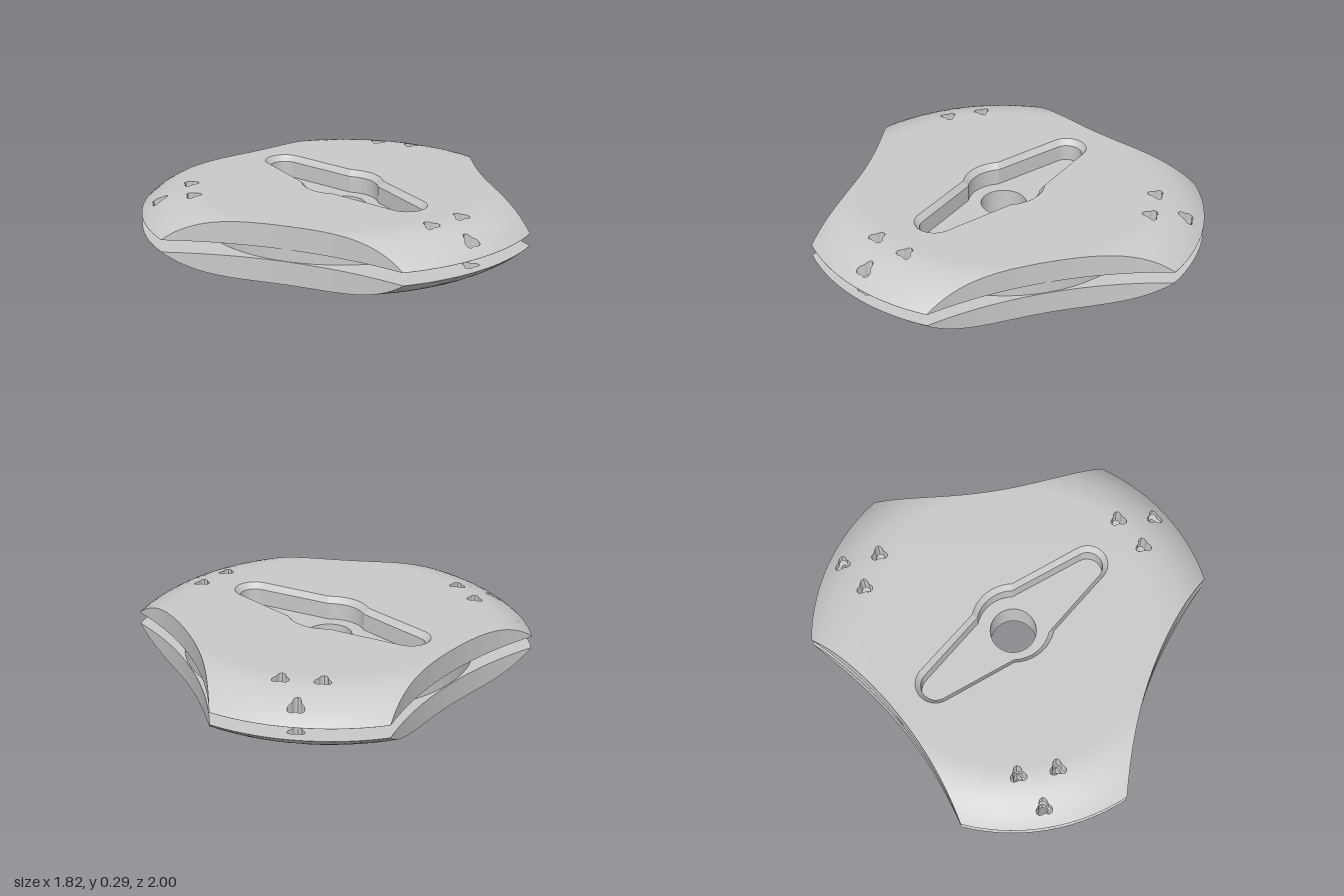
import * as THREE from 'three';

const CX = -0.098;                     // axis of the disc
const RIM = 1.006, FLAT = 0.72;        // rim radius, radius where the rounding begins
const THICK = 0.115, GAP = 0.06;       // shell thickness, slot between shells
const DROP = THICK - 0.001;
const ROUND = ((RIM - FLAT) ** 2 + DROP ** 2) / (2 * DROP);
const TAU = Math.PI * 2, DEG = Math.PI / 180;

const polar = (r, a) => [r * Math.cos(a), r * Math.sin(a)];
const circle = (r, n = 48) => Array.from({ length: n }, (_, i) => polar(r, (i / n) * TAU));

// Three-lobed plan: rim arcs joined by shallow concave scallops
function lobedPlan() {
  const pts = [], half = 23.5 * DEG, gap = Math.PI / 3 - half;
  const h = RIM * Math.sin(gap), sag = RIM * Math.cos(gap) - 0.72;
  const R = (h * h + sag * sag) / (2 * sag), phi = Math.asin(h / R);
  for (let k = 0; k < 3; k++) {
    const a = (k * TAU) / 3 + 0.5 * DEG, m = a + Math.PI / 3;
    for (let i = 0; i < 14; i++) pts.push(polar(RIM, a - half + (2 * half * i) / 14));
    for (let i = 0; i < 20; i++) {
      const p = -phi + (2 * phi * i) / 20;
      const d = 0.72 + R - R * Math.cos(p), s = R * Math.sin(p);
      pts.push([d * Math.cos(m) - s * Math.sin(m), d * Math.sin(m) + s * Math.cos(m)]);
    }
  }
  return pts;
}

// Six-cornered outline with slightly hollow long sides (underside recess and boss)
function sixSided(r) {
  const pts = [];
  for (let k = 0; k < 3; k++) {
    const a = (34.5 + 120 * k) * DEG;
    pts.push(polar(r, a));
    const p = polar(r, a + 40 * DEG), q = polar(r, a + 120 * DEG);
    for (let i = 0; i < 10; i++) {
      const t = i / 10, f = 1 - 0.06 * Math.sin(Math.PI * t);
      pts.push([(p[0] + (q[0] - p[0]) * t) * f, (p[1] + (q[1] - p[1]) * t) * f]);
    }
  }
  return pts;
}

// Long tapered slot with a round bulge in the middle, inset by o
function slotOutline(o) {
  const q = [];
  for (let i = 0; i <= 8; i++) {
    const [x, z] = polar(0.1 - o, i * 10 * DEG);
    q.push([0.485 + x, z]);
  }
  for (let i = 0; i <= 6; i++) q.push(polar(0.205 - o, (52 + (i * 38) / 6) * DEG));
  const left = q.slice(0, -1).reverse().map(([x, z]) => [-x, z]);
  const upper = [...q, ...left];
  return [...upper, ...upper.slice(1, -1).reverse().map(([x, z]) => [x, -z])];
}

// Small trefoil holes, three on each lobe
function trefoils() {
  const holes = [];
  for (const [cx, cz] of [[0.819, 0.007], [-0.389, -0.713], [-0.413, 0.697]]) {
    for (const [dx, dz] of [[-0.055, -0.095], [-0.055, 0.095], [0.11, 0]]) {
      holes.push(Array.from({ length: 24 }, (_, i) => {
        const a = (i / 24) * TAU;
        const [x, z] = polar(0.035 - 0.009 * Math.cos(3 * a), a);
        return [cx + dx + x, cz + dz + z];
      }));
    }
  }
  return holes;
}

// Slab from an (x, z) outline, growing up (dir 1) or down (dir -1) from y = 0
function slab(outline, holes, depth, dir, domed = false) {
  const v = (pts) => {
    const flat = pts.map(([x, z]) => new THREE.Vector2(x, -dir * z));
    return dir > 0 ? flat.reverse() : flat;
  };
  const shape = new THREE.Shape(v(outline));
  shape.holes = holes.map((h) => new THREE.Path(v(h)));
  let geo = new THREE.ExtrudeGeometry(shape, { depth, bevelEnabled: false, curveSegments: 1 });
  if (domed) geo = roundRim(geo, depth);
  geo.rotateX((-dir * Math.PI) / 2);
  return geo;
}

// Split long edges, then thin the slab along an arc towards the rim
function roundRim(source, depth) {
  const p = source.index ? source.toNonIndexed().attributes.position : source.attributes.position;
  const pos = [], onTop = [];
  const split = (a, b, c, top) => {
    const l = [a.distanceTo(b), b.distanceTo(c), c.distanceTo(a)];
    const m = Math.max(...l);
    if (m <= 0.06) {
      for (const q of [a, b, c]) {
        pos.push(q.x, q.y, q.z);
        onTop.push(top);
      }
      return;
    }
    while (l[0] !== m) {
      [a, b, c] = [b, c, a];
      l.push(l.shift());
    }
    const mid = a.clone().add(b).multiplyScalar(0.5);
    split(a, mid, c, top);
    split(mid, b, c, top);
  };
  for (let i = 0; i < p.count; i += 3) {
    const [a, b, c] = [0, 1, 2].map((k) => new THREE.Vector3().fromBufferAttribute(p, i + k));
    split(a, b, c, Math.min(a.z, b.z, c.z) > depth - 1e-5);
  }
  const past = (i) => Math.min(Math.max(Math.hypot(pos[3 * i], pos[3 * i + 1]) - FLAT, 0), RIM - FLAT);
  for (let i = 0; i < onTop.length; i++) {
    pos[3 * i + 2] *= 1 - (ROUND - Math.sqrt(ROUND ** 2 - past(i) ** 2)) / depth;
  }
  const geo = new THREE.BufferGeometry();
  geo.setAttribute('position', new THREE.Float32BufferAttribute(pos, 3));
  geo.computeVertexNormals();
  onTop.forEach((top, i) => {
    if (!top) return;
    const k = past(i) / ROUND, x = pos[3 * i], y = pos[3 * i + 1], r = Math.hypot(x, y) || 1;
    geo.attributes.normal.setXYZ(i, (x / r) * k, (y / r) * k, Math.sqrt(1 - k * k));
  });
  return geo;
}

// Inward-facing wall through a stack of outlines, top to bottom
function innerWall(rings) {
  const pos = [];
  for (let j = 0; j < rings.length - 1; j++) {
    const [hi, lo] = [rings[j], rings[j + 1]], n = hi.pts.length;
    for (let i = 0; i < n; i++) {
      const at = (r, k) => [r.pts[k % n][0], r.y, r.pts[k % n][1]];
      const a = at(hi, i), b = at(hi, i + 1), c = at(lo, i), d = at(lo, i + 1);
      pos.push(...a, ...c, ...b, ...b, ...c, ...d);
    }
  }
  const geo = new THREE.BufferGeometry();
  geo.setAttribute('position', new THREE.Float32BufferAttribute(pos, 3));
  geo.computeVertexNormals();
  return geo;
}

export function createModel() {
  const group = new THREE.Group();
  group.name = 'lobedSpool';
  const grey = new THREE.MeshStandardMaterial({ color: 0xcacaca });
  grey.name = 'grey';
  const add = (name, geo, y) => {
    const mesh = new THREE.Mesh(geo, grey);
    mesh.name = name;
    mesh.position.set(CX, y, 0);
    group.add(mesh);
  };

  const plan = lobedPlan(), bore = circle(0.115), small = trefoils();
  const top = 2 * THICK + GAP;

  // Two mirrored shells with rounded rims
  add('upperShell', slab(plan, [slotOutline(0), ...small], THICK, 1, true), THICK + GAP);
  add('lowerShell', slab(plan, [sixSided(0.71), ...small], THICK, -1, true), THICK);

  // Round core between them, which also floors the recesses
  add('core', slab(circle(0.716, 72), [bore], GAP, 1), THICK);

  // Chamfered wall of the top slot
  const inner = slotOutline(0.025);
  add('slotWall', innerWall([
    { pts: slotOutline(0), y: top },
    { pts: inner, y: top - 0.03 },
    { pts: inner, y: THICK + GAP },
  ]), 0);

  // Boss standing in the underside recess
  add('lowerBoss', slab(sixSided(0.5), [bore], THICK, -1), THICK);
  return group;
}
